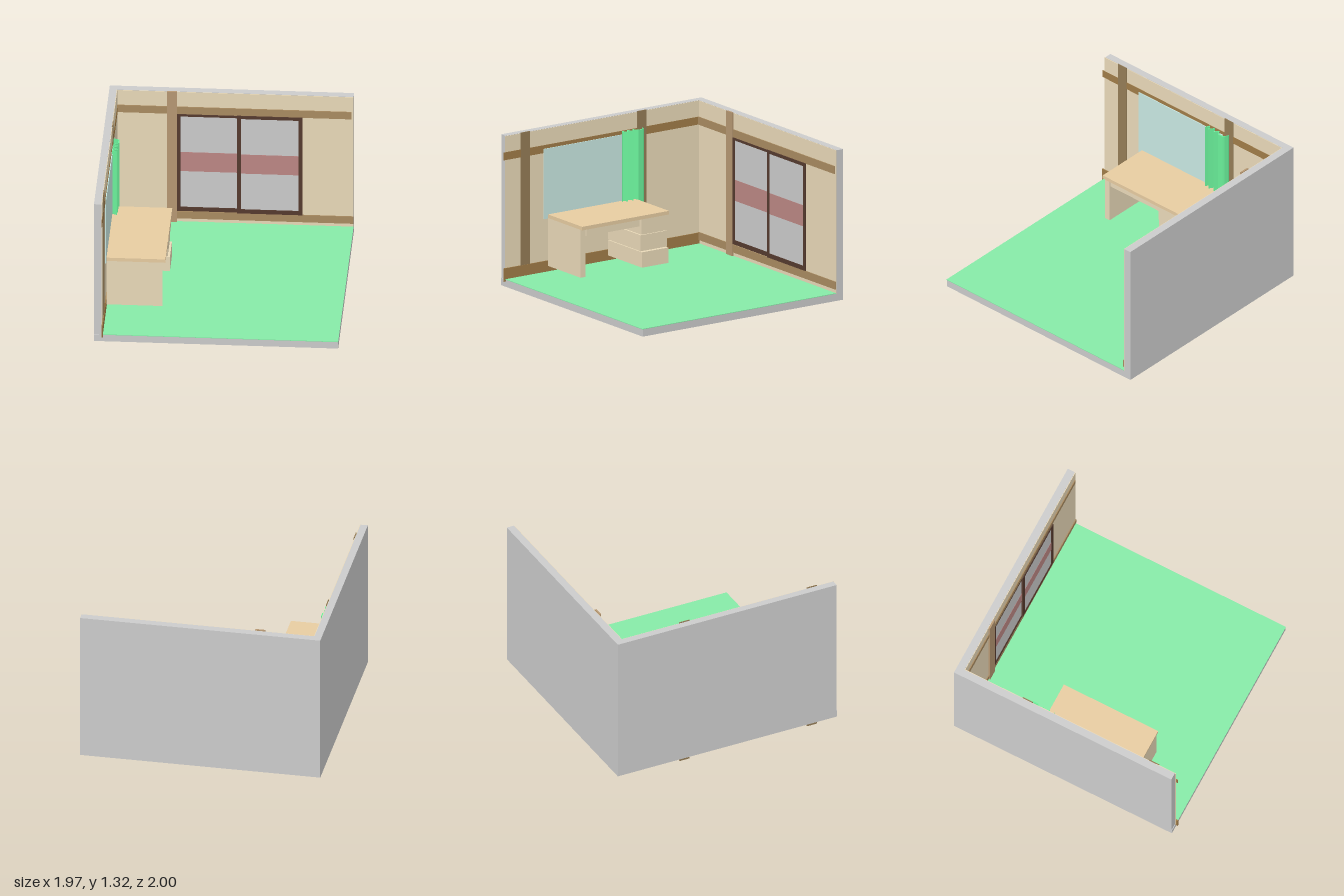
import * as THREE from 'three';

const mat = (color) => new THREE.MeshStandardMaterial({ color, flatShading: true });
const GREY = mat(0xcccccc), BEIGE = mat(0xe9d9b8), CARPET = mat(0x86eaa7);
const RAIL = mat(0xa98b61), POST = mat(0xb69772), SIDE_RAIL = mat(0xa07c48), SIDE_POST = mat(0x947c56);
const FRAME = mat(0x553a2e), BAND = mat(0xbc8784), PANE = mat(0xc8e8e2);
const DESK_TOP = mat(0xe7cca1), DESK = mat(0xe9d9b8), CURTAIN = mat(0x6af09a);

// Box given by its limits on each axis
function box(parent, name, material, [x0, x1], [y0, y1], [z0, z1]) {
  const mesh = new THREE.Mesh(new THREE.BoxGeometry(x1 - x0, y1 - y0, z1 - z0), material);
  mesh.position.set((x0 + x1) / 2, (y0 + y1) / 2, (z0 + z1) / 2);
  mesh.name = name;
  parent.add(mesh);
}

function group(parent, name) {
  const g = new THREE.Group();
  g.name = name;
  parent.add(g);
  return g;
}

// Floor slab, two walls and their linings
function addShell(room) {
  const shell = group(room, 'shell');
  box(shell, 'floorSlab', GREY, [-0.985, 0.985], [0.06, 0.12], [-1, 0.98]);
  box(shell, 'backWall', GREY, [-0.985, 0.985], [0.12, 1.315], [-1, -0.935]);
  box(shell, 'sideWall', GREY, [-0.985, -0.925], [0.12, 1.315], [-0.935, 0.975]);
  box(shell, 'carpet', CARPET, [-0.92, 0.985], [0.12, 0.125], [-0.93, 0.983]);
  box(shell, 'backLining', BEIGE, [-0.925, 0.985], [0.12, 1.313], [-0.935, -0.93]);
  box(shell, 'sideLining', BEIGE, [-0.925, -0.92], [0.12, 1.313], [-0.93, 0.983]);
}

// Wooden posts and rails on both walls
function addTimber(room) {
  const timber = group(room, 'timber');
  box(timber, 'backPost', POST, [-0.52, -0.437], [0.04, 1.32], [-0.93, -0.915]);
  box(timber, 'backUpperRail', RAIL, [-0.92, 0.97], [1.115, 1.18], [-0.93, -0.922]);
  box(timber, 'backLowerRail', RAIL, [-0.92, 0.985], [0.155, 0.22], [-0.93, -0.922]);
  for (const z of [0.74, -0.41]) {
    box(timber, 'sidePost', SIDE_POST, [-0.922, -0.915], [0, 1.32], [z, z + 0.09]);
  }
  box(timber, 'sideUpperRail', SIDE_RAIL, [-0.922, -0.917], [1.115, 1.18], [-0.93, 1]);
  box(timber, 'sideLowerRail', SIDE_RAIL, [-0.922, -0.912], [0.105, 0.215], [-0.93, 1]);
}

// One framed sliding panel with a coloured band across it
function addSlidingPanel(parent, [x0, x1], [y0, y1], z, left, right, rim) {
  const panel = group(parent, 'slidingPanel');
  const shape = new THREE.Shape([[x0, y0], [x1, y0], [x1, y1], [x0, y1]].map((p) => new THREE.Vector2(...p)));
  const [a, b, c, d] = [x0 + left, x1 - right, y0 + 0.037, y1 - rim];
  shape.holes.push(new THREE.Path([[a, c], [a, d], [b, d], [b, c]].map((p) => new THREE.Vector2(...p))));
  const frame = new THREE.Mesh(new THREE.ExtrudeGeometry(shape, { depth: 0.009, bevelEnabled: false }), FRAME);
  frame.position.z = z;
  frame.name = 'panelFrame';
  panel.add(frame);
  box(panel, 'panelFill', GREY, [a, b], [c, d], [z, z + 0.004]);
  box(panel, 'panelBand', BAND, [a, b], [y0 + 0.365, y0 + 0.54], [z + 0.001, z + 0.006]);
}

// Desk with an end panel, a shallow drawer and a drawer stack
function addDesk(room) {
  const desk = group(room, 'desk');
  box(desk, 'deskTop', DESK_TOP, [-0.91, -0.435], [0.57, 0.6], [-0.29, 0.567]);
  box(desk, 'endPanel', DESK, [-0.91, -0.46], [0.17, 0.57], [0.515, 0.565]);
  box(desk, 'shallowDrawer', DESK, [-0.91, -0.46], [0.508, 0.57], [-0.015, 0.507]);
  [[0.167, 0.295, -0.437], [0.3, 0.433, -0.455], [0.44, 0.57, -0.445]].forEach(([y0, y1, front]) => {
    box(desk, 'stackDrawer', DESK, [-0.91, front], [y0, y1], [-0.285, -0.025]);
  });
}

// Gathered curtain: a thin pleated strip seen from above, extruded upward
function addCurtain(room) {
  const folds = [
    [-0.91, -0.365], [-0.88, -0.355], [-0.868, -0.345], [-0.868, -0.295], [-0.905, -0.27],
    [-0.872, -0.245], [-0.908, -0.215], [-0.87, -0.19], [-0.908, -0.165], [-0.875, -0.148],
  ];
  const near = folds.map(([x, z]) => new THREE.Vector2(x + 0.005, -z));
  const far = folds.map(([x, z]) => new THREE.Vector2(x - 0.005, -z)).reverse();
  const geometry = new THREE.ExtrudeGeometry(new THREE.Shape([...near, ...far]), { depth: 0.67, bevelEnabled: false });
  geometry.rotateX(-Math.PI / 2);
  const curtain = new THREE.Mesh(geometry, CURTAIN);
  curtain.position.y = 0.51;
  curtain.name = 'curtain';
  room.add(curtain);
}

export function createModel() {
  const room = new THREE.Group();
  room.name = 'room';
  addShell(room);
  addTimber(room);

  const door = group(room, 'slidingDoor');
  addSlidingPanel(door, [-0.437, 0.08], [0.225, 1.113], -0.93, 0.025, 0.035, 0.02);
  addSlidingPanel(door, [0.045, 0.575], [0.222, 1.117], -0.924, 0.033, 0.032, 0.027);

  box(room, 'sideWindow', PANE, [-0.922, -0.91], [0.565, 1.15], [-0.3, 0.605]);
  addDesk(room);
  addCurtain(room);
  return room;
}
